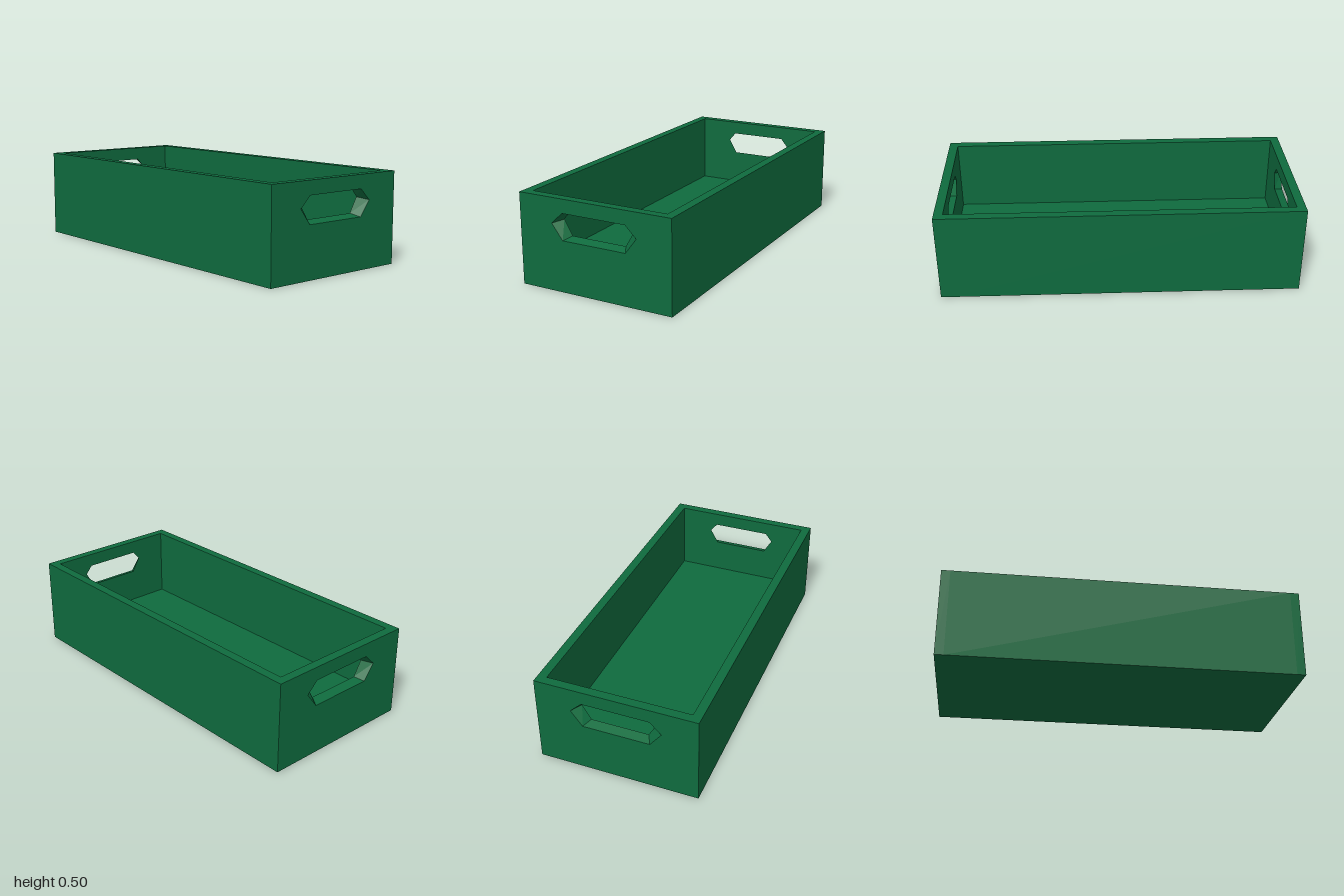
import * as THREE from 'three';

const W = 0.447, H = 0.505, L = 1, WALL = 0.05, FLOOR = 0.1;

// Hand hole outline: wide on the outside face, narrower on the inside face
const OUTER = [[0.25, 0.367], [0.186, 0.429], [-0.186, 0.429], [-0.25, 0.367], [-0.186, 0.283], [0.186, 0.283]];
const INNER = [[0.207, 0.381], [0.167, 0.429], [-0.167, 0.429], [-0.207, 0.381], [-0.159, 0.299], [0.159, 0.299]];

const polygon = (points, Type = THREE.Shape) => new Type(points.map(([x, y]) => new THREE.Vector2(x, y)));

// End wall with a hand hole that tapers towards the inside
function endWallGeometry() {
  const shape = polygon([[-W, 0], [W, 0], [W, H], [-W, H]]);
  shape.holes.push(polygon(OUTER, THREE.Path));
  const geometry = new THREE.ExtrudeGeometry(shape, { depth: WALL, bevelEnabled: false });
  const pos = geometry.attributes.position;
  for (let i = 0; i < pos.count; i++) {
    if (pos.getZ(i) > WALL / 2) continue;
    const k = OUTER.findIndex(([x, y]) => Math.hypot(pos.getX(i) - x, pos.getY(i) - y) < 1e-4);
    if (k >= 0) pos.setXY(i, INNER[k][0], INNER[k][1]);
  }
  geometry.computeVertexNormals();
  return geometry.translate(0, 0, L - WALL);
}

export function createModel() {
  const model = new THREE.Group();
  model.name = 'crate';
  const green = new THREE.MeshStandardMaterial({ color: 0x0f6b3e });
  green.name = 'green';

  // Side walls and floor as one U-shaped trough
  const inX = W - WALL;
  const trough = polygon([[-W, 0], [W, 0], [W, H], [inX, H], [inX, FLOOR], [-inX, FLOOR], [-inX, H], [-W, H]]);
  const troughGeometry = new THREE.ExtrudeGeometry(trough, { depth: 2 * (L - WALL), bevelEnabled: false });
  troughGeometry.translate(0, 0, WALL - L);
  const body = new THREE.Mesh(troughGeometry, green);
  body.name = 'sidesAndFloor';
  model.add(body);

  // Matching end walls
  const endGeometry = endWallGeometry();
  for (const [name, turn] of [['frontWall', 0], ['backWall', Math.PI]]) {
    const wall = new THREE.Mesh(endGeometry, green);
    wall.name = name;
    wall.rotation.y = turn;
    model.add(wall);
  }
  return model;
}
